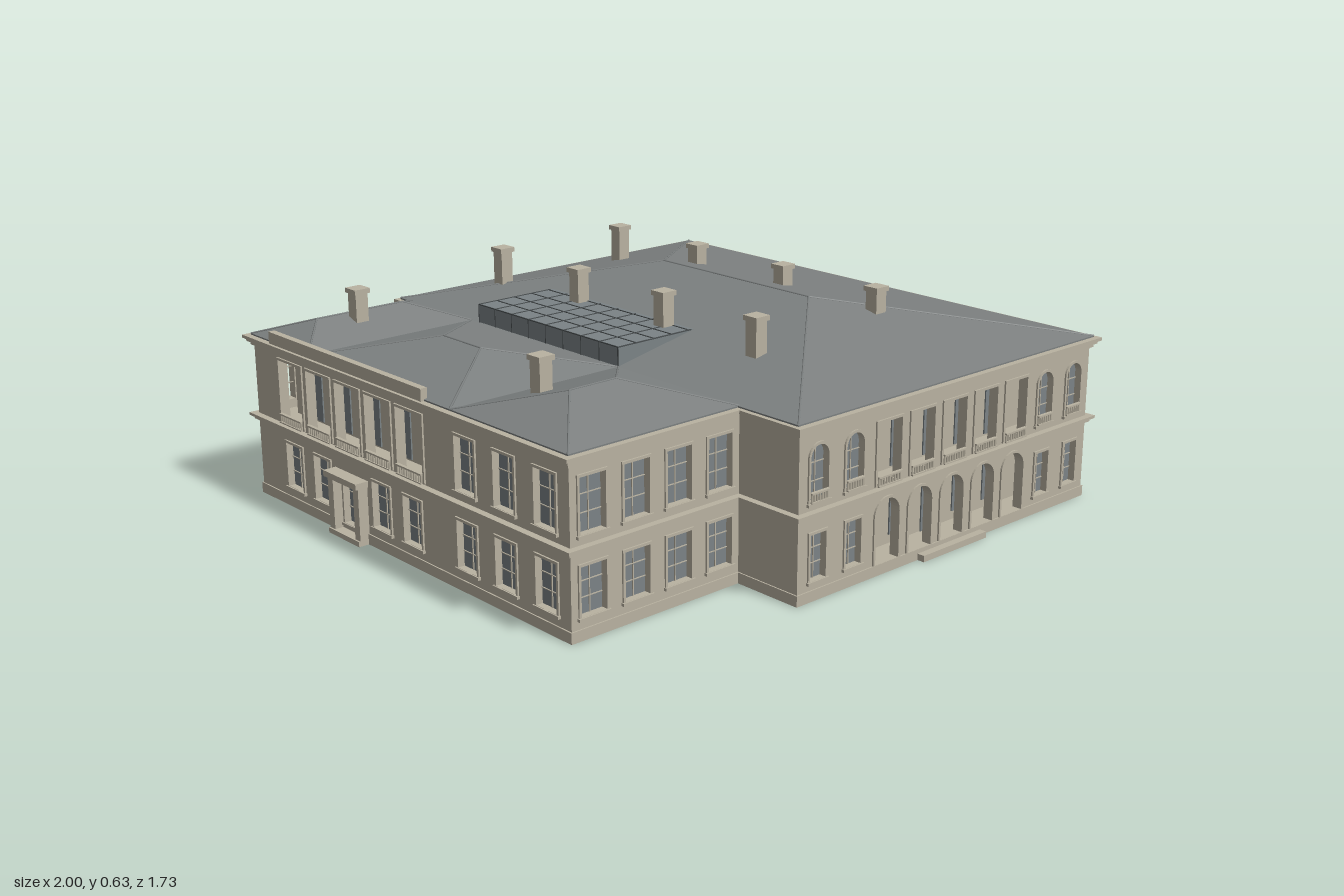
import * as THREE from 'three';
import { mergeGeometries } from 'three/addons/utils/BufferGeometryUtils.js';

const material = (name, color) => {
  const m = new THREE.MeshStandardMaterial({ color });
  m.name = name;
  return m;
};

export function createModel() {
  const stone = material('stone', 0xb9b2a1);
  const slate = material('slate', 0x7d8181);
  const glass = material('glass', 0x7b8386);
  const darkMetal = material('darkMetal', 0x4a4f51);
  const house = new THREE.Group();
  house.name = 'villa';

  const mesh = (name, geo, mat, parent = house) => {
    const m = new THREE.Mesh(geo, mat);
    m.name = name;
    parent.add(m);
    return m;
  };
  // Box geometry given by its min and max on each axis
  const block = (x0, x1, y0, y1, z0, z1) =>
    new THREE.BoxGeometry(x1 - x0, y1 - y0, z1 - z0).translate((x0 + x1) / 2, (y0 + y1) / 2, (z0 + z1) / 2);
  const merge = list => mergeGeometries(list.map(g => (g.index ? g.toNonIndexed() : g)));

  // Opening outline, square or round headed
  const outline = (Type, u, w, y0, y1, arch) => {
    const s = new Type(), r = w / 2;
    s.moveTo(u - r, y0);
    s.lineTo(u + r, y0);
    if (arch) {
      s.lineTo(u + r, y1 - r);
      s.absarc(u, y1 - r, r, 0, Math.PI, false);
    } else {
      s.lineTo(u + r, y1);
      s.lineTo(u - r, y1);
    }
    s.closePath();
    return s;
  };

  // Row of balusters between two rails, running along x at depth z
  const balustrade = (u0, u1, y0, y1, z, step) => {
    const n = Math.max(2, Math.round((u1 - u0) / step)), t = (y1 - y0) * 0.12;
    const parts = [block(u0, u1, y1 - t * 1.4, y1, z - 0.005, z + 0.005), block(u0, u1, y0, y0 + t, z - 0.005, z + 0.005)];
    for (let i = 0; i <= n; i++) {
      const u = u0 + 0.004 + ((u1 - u0 - 0.008) * i) / n;
      parts.push(new THREE.CylinderGeometry(0.0028, 0.0036, y1 - y0, 6).translate(u, (y0 + y1) / 2, z));
    }
    return parts;
  };

  // Wall slab with openings; local x runs along it and local z points outwards
  const INSET = 0.08, THICK = 0.025;
  function facade(name, length, bays, x, z, turn) {
    const g = new THREE.Group();
    g.name = name;
    g.position.set(x, 0, z);
    g.rotation.y = turn;
    house.add(g);
    const wall = new THREE.Shape([[-1, 0.03], [1, 0.03], [1, 0.47], [-1, 0.47]].map(([s, y]) => new THREE.Vector2((s * length) / 2, y)));
    const trim = [], panes = [];
    for (const b of bays) {
      const { u, w, y0, y1, arch } = b;
      wall.holes.push(outline(THREE.Path, u, w, y0, y1, arch));
      // raised surround
      const frame = outline(THREE.Shape, u, w + 0.014, y0, y1 + 0.007, arch);
      frame.holes.push(outline(THREE.Path, u, w, y0 + 0.0005, y1, arch));
      trim.push(new THREE.ExtrudeGeometry(frame, { depth: 0.005, bevelEnabled: false, curveSegments: 8 }));
      if (b.open) {
        // door on the back wall of the loggia
        panes.push(block(u - b.door / 2, u + b.door / 2, b.d0, b.d1, -INSET, -INSET + 0.004));
      } else {
        panes.push(new THREE.ShapeGeometry(outline(THREE.Shape, u, w, y0, y1, arch), 8).translate(0, 0, -0.016));
        trim.push(block(u - 0.0015, u + 0.0015, y0, y1, -0.016, -0.013));
        for (const f of [0.33, 0.66]) {
          const y = y0 + (y1 - y0) * f;
          trim.push(block(u - w / 2, u + w / 2, y - 0.001, y + 0.001, -0.016, -0.013));
        }
        trim.push(block(u - w / 2 - 0.01, u + w / 2 + 0.01, y0 - 0.008, y0, -0.005, 0.009));
      }
      if (b.rail) trim.push(...balustrade(u - w / 2, u + w / 2, y0, y0 + 0.028, 0.006, 0.011));
    }
    mesh(name + 'Wall', new THREE.ExtrudeGeometry(wall, { depth: THICK, bevelEnabled: false, curveSegments: 8 }).translate(0, 0, -THICK), stone, g);
    if (bays.length) {
      mesh(name + 'Trim', merge(trim), stone, g);
      mesh(name + 'Panes', merge(panes.map(p => p.deleteAttribute('uv') && p)), glass, g);
    }
  }

  // Bay types
  const arcade = (u, entrance) => [
    { u, w: 0.09, y0: 0.031, y1: 0.207, arch: true, open: true, door: 0.062, d0: entrance ? 0.03 : 0.055, d1: 0.178 },
    { u, w: 0.09, y0: 0.247, y1: 0.418, open: true, door: 0.066, d0: 0.25, d1: 0.388, rail: true },
  ];
  const sideBay = u => [
    { u, w: 0.056, y0: 0.055, y1: 0.18 },
    { u, w: 0.064, y0: 0.265, y1: 0.414, arch: true, rail: true },
  ];
  const wideBay = u => [
    { u, w: 0.08, y0: 0.06, y1: 0.19 },
    { u, w: 0.08, y0: 0.27, y1: 0.415 },
  ];
  // Central five-bay arcade flanked by plain bays
  const symmetrical = (pitch, side) => {
    const bays = [];
    for (let i = -2 - side; i <= 2 + side; i++) bays.push(...(Math.abs(i) <= 2 ? arcade(i * pitch, i === 0) : sideBay(i * pitch)));
    return bays;
  };
  const spread = (n, pitch, offset = 0) => Array.from({ length: n }, (_, i) => wideBay((i - (n - 1) / 2) * pitch + offset)).flat();

  // Solid body of a block: core, plinth, floor bands and cornice
  function body(name, x0, x1, z0, z1) {
    const band = (o, y0, y1) => block(x0 - o, x1 + o, y0, y1, z0 - o, z1 + o);
    mesh(name + 'Core', band(-INSET, 0.02, 0.46), stone);
    mesh(name + 'Plinth', band(0.004, 0, 0.03), stone);
    mesh(name + 'StringCourse', merge([band(0.01, 0.226, 0.236), band(0.02, 0.236, 0.244)]), stone);
    mesh(name + 'Cornice', merge([band(0.008, 0.448, 0.458), band(0.016, 0.458, 0.467), band(0.024, 0.467, 0.476)]), stone);
  }
  body('main', -0.41, 0.77, -0.84, 0.84);
  body('wing', -0.96, -0.41, -0.79, 0.63);

  facade('mainFront', 1.18, symmetrical(0.13, 2), 0.18, 0.84, 0);
  facade('mainRight', 1.68, symmetrical(0.126, 4), 0.77, 0, Math.PI / 2);
  facade('mainBack', 1.18, spread(8, 0.142), 0.18, -0.84, Math.PI);
  facade('mainLeft', 1.68, [], -0.41, 0, -Math.PI / 2);
  facade('wingFront', 0.55, spread(4, 0.138), -0.685, 0.63, 0);
  facade('wingBack', 0.55, spread(4, 0.138), -0.685, -0.79, Math.PI);

  // Left side of the wing: upper loggia, entrance below and plain bays towards the front
  const leftBays = spread(3, 0.16, 0.46);
  for (let i = -2; i <= 2; i++) {
    const u = -0.23 + i * 0.145;
    leftBays.push({ u, w: 0.115, y0: 0.247, y1: 0.43, open: true, door: 0.07, d0: 0.25, d1: 0.4, rail: true });
    leftBays.push(i === 0 ? { u, w: 0.08, y0: 0.031, y1: 0.165 } : wideBay(u)[0]);
  }
  facade('wingLeft', 1.42, leftBays, -0.96, -0.08, -Math.PI / 2);
  mesh('wingParapet', block(-0.975, -0.955, 0.47, 0.51, -0.68, 0.06), stone);
  mesh('porch', merge([
    block(-0.99, -0.95, 0, 0.165, -0.385, -0.36),
    block(-0.99, -0.95, 0, 0.165, -0.26, -0.235),
    block(-1, -0.95, 0.165, 0.182, -0.39, -0.23),
    block(-0.995, -0.95, 0, 0.015, -0.385, -0.235),
  ]), stone);

  // Hipped roof with its ridge along x or z, plus ridge and hip caps
  function hip(name, x0, x1, z0, z1, y, top, axis, r0, r1) {
    const xm = (x0 + x1) / 2, zm = (z0 + z1) / 2, alongZ = axis === 'z';
    const pts = [[x0, y, z0], [x1, y, z0], [x1, y, z1], [x0, y, z1],
      alongZ ? [xm, top, r0] : [r0, top, zm], alongZ ? [xm, top, r1] : [r1, top, zm]];
    const faces = alongZ
      ? [0, 4, 1, 1, 4, 5, 1, 5, 2, 2, 5, 3, 3, 5, 4, 3, 4, 0]
      : [0, 4, 5, 0, 5, 1, 1, 5, 2, 2, 5, 4, 2, 4, 3, 3, 4, 0];
    const geo = new THREE.BufferGeometry();
    geo.setAttribute('position', new THREE.Float32BufferAttribute(faces.flatMap(i => pts[i]), 3));
    geo.computeVertexNormals();
    mesh(name, geo, slate);
    const v = pts.map(p => new THREE.Vector3(...p));
    const lines = alongZ ? [[4, 5], [0, 4], [1, 4], [2, 5], [3, 5]] : [[4, 5], [0, 4], [3, 4], [1, 5], [2, 5]];
    mesh(name + 'Caps', merge(lines.map(([a, b]) => new THREE.TubeGeometry(new THREE.LineCurve3(v[a], v[b]), 1, 0.003, 6))), slate);
    mesh(name + 'Edge', block(x0, x1, y - 0.008, y, z0, z1), slate);
  }
  hip('mainRoof', -0.42, 0.78, -0.85, 0.845, 0.48, 0.595, 'z', -0.31, 0.3);
  hip('wingBackRoof', -0.965, -0.415, -0.795, -0.49, 0.48, 0.53, 'x', -0.84, -0.55);
  hip('wingMiddleRoof', -0.965, -0.415, -0.49, 0.17, 0.48, 0.535, 'z', -0.24, -0.07);
  hip('wingFrontRoof', -0.965, -0.415, 0.17, 0.635, 0.48, 0.542, 'x', -0.77, -0.62);

  // Glazed roof light with a grid of bars
  mesh('roofLight', block(-0.415, -0.14, 0.475, 0.534, -0.45, 0.17), glass);
  const bars = [];
  for (let i = 0; i <= 8; i++) {
    const z = -0.45 + 0.0775 * i;
    bars.push(block(-0.417, -0.15, 0.533, 0.536, z - 0.0015, z + 0.0015), block(-0.417, -0.414, 0.48, 0.535, z - 0.0015, z + 0.0015));
  }
  for (let i = 0; i <= 4; i++) {
    const x = -0.415 + 0.064 * i;
    bars.push(block(x - 0.0015, x + 0.0015, 0.533, 0.536, -0.45, 0.17));
  }
  mesh('roofLightBars', merge(bars), darkMetal);

  // Chimneys
  const chimney = (x, z, top) => mesh('chimney', merge([
    block(x - 0.02, x + 0.02, 0.48, top, z - 0.02, z + 0.02),
    block(x - 0.025, x + 0.025, top - 0.014, top, z - 0.025, z + 0.025),
  ]), stone);
  for (const x of [-0.175, 0.295]) for (const z of [-0.65, -0.285, 0.085, 0.45]) chimney(x, z, 0.635);
  chimney(-0.725, -0.605, 0.608);
  chimney(-0.765, 0.285, 0.608);

  // Terrace with balustrades and steps
  mesh('terrace', block(0.77, 0.96, 0, 0.032, -0.39, 0.395), stone);
  mesh('terraceSteps', merge([
    block(0.95, 0.97, 0, 0.024, -0.12, 0.12),
    block(0.95, 0.985, 0, 0.016, -0.12, 0.12),
    block(0.95, 1, 0, 0.008, -0.12, 0.12),
  ]), stone);
  for (const s of [-1, 1]) {
    const rail = mesh('terraceBalustrade', merge(balustrade(0.13, 0.39, 0.032, 0.066, 0, 0.014)), stone);
    rail.rotation.y = (-s * Math.PI) / 2;
    rail.position.x = 0.95;
    mesh('terraceSideBalustrade', merge(balustrade(0.775, 0.95, 0.032, 0.066, s * 0.385, 0.014)), stone);
    for (const z of [0.135, 0.26, 0.385]) mesh('terracePost', block(0.942, 0.958, 0.03, 0.069, s * z - 0.008, s * z + 0.008), stone);
  }
  mesh('frontStep', block(0.045, 0.305, 0, 0.018, 0.83, 0.866), stone);

  return house;
}
